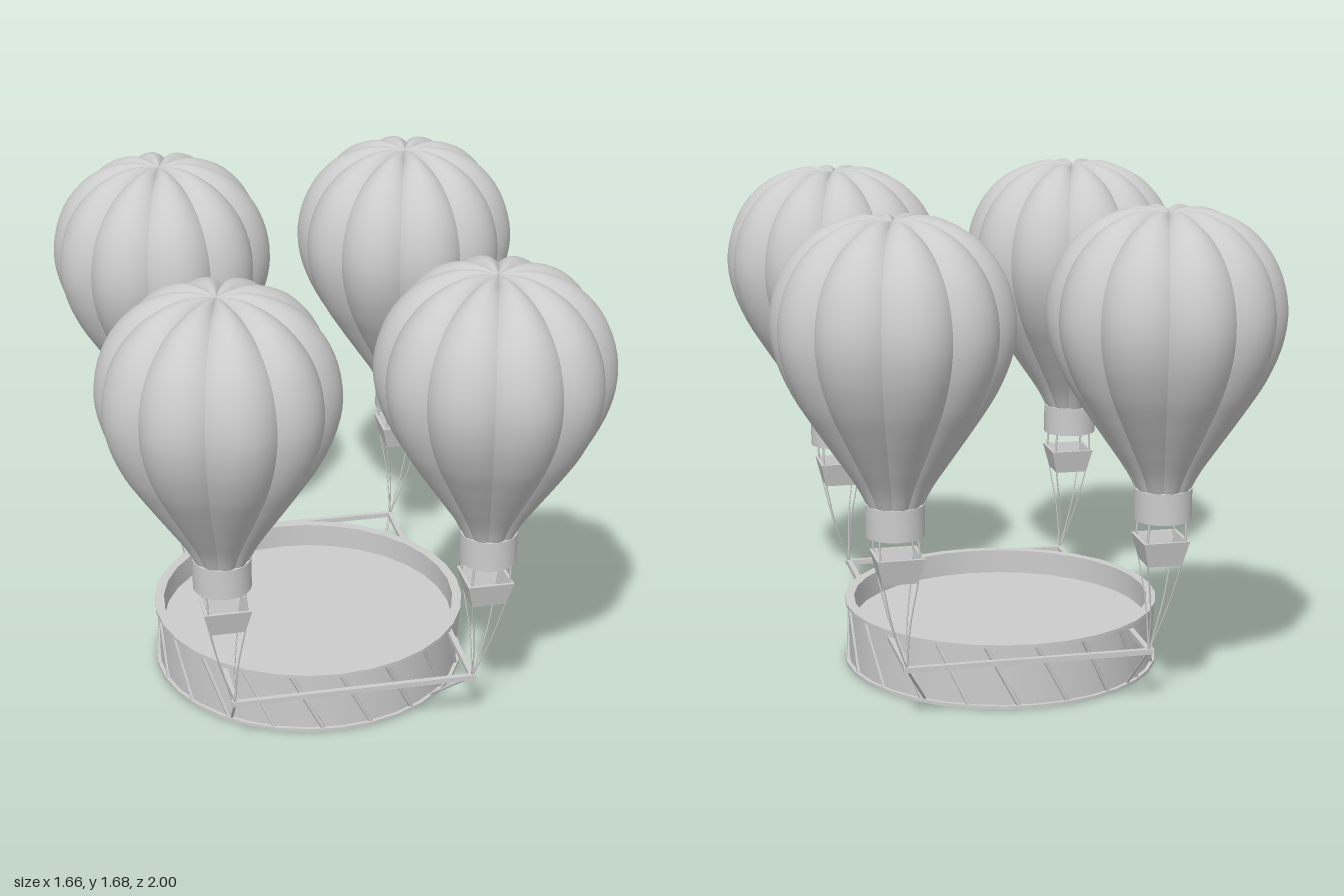
import * as THREE from 'three';
import { toCreasedNormals } from 'three/addons/utils/BufferGeometryUtils.js';
import { ParametricGeometry } from 'three/addons/geometries/ParametricGeometry.js';

const material = new THREE.MeshStandardMaterial({ color: 0xcccccc });
const LOBES = 10;
const TUB_X = -0.038;
const V = (x, y, z) => new THREE.Vector3(x, y, z);

function add(parent, name, geometry) {
  const mesh = new THREE.Mesh(geometry, material);
  mesh.name = name;
  parent.add(mesh);
  return mesh;
}

// Closed solid of revolution with sharp edges kept
function turned(points, sides, phase = 0) {
  const profile = points.map(([r, y]) => new THREE.Vector2(r, y));
  return toCreasedNormals(new THREE.LatheGeometry(profile, sides, phase), 0.6);
}

// Straight round rod between two points
function rod(parent, name, a, b, radius, sides = 6) {
  const mesh = add(parent, name, new THREE.CylinderGeometry(radius, radius, a.distanceTo(b), sides));
  mesh.position.copy(a).add(b).multiplyScalar(0.5);
  mesh.quaternion.setFromUnitVectors(V(0, 1, 0), b.clone().sub(a).normalize());
  return mesh;
}

// Envelope profile along the crest of a lobe
const envelope = new THREE.SplineCurve([
  [0.088, 0.75], [0.125, 0.82], [0.19, 0.915], [0.262, 1.02], [0.325, 1.12], [0.372, 1.23],
  [0.39, 1.335], [0.376, 1.44], [0.332, 1.54], [0.257, 1.622], [0.165, 1.668],
  [0.085, 1.68], [0.002, 1.668],
].map(([r, y]) => new THREE.Vector2(r, y)));

// One bulging gore; separate gores leave a sharp crease between lobes
const gore = new ParametricGeometry((u, v, target) => {
  const s = 2 * u - 1;
  const p = envelope.getPoint(v);
  const k = 1 - 0.085 * s * s;
  const angle = s * Math.PI / LOBES;
  const sink = 0.02 * s * s * THREE.MathUtils.smoothstep(p.y, 1.4, 1.66) * Math.min(1, p.x / 0.1);
  target.set(p.x * k * Math.sin(angle), p.y - sink, p.x * k * Math.cos(angle));
}, 8, 36);

const neck = turned([[0.08, 0.655], [0.096, 0.655], [0.096, 0.76], [0.08, 0.76], [0.08, 0.655]], 28);

// Square tapered basket, hollow
const q = Math.SQRT2;
const basket = turned([
  [0, 0.505], [0.058 * q, 0.505], [0.078 * q, 0.59], [0.068 * q, 0.59], [0.052 * q, 0.52], [0, 0.52],
], 4, Math.PI / 4);

function createStation(sx, sz) {
  const station = new THREE.Group();
  station.name = 'balloon';
  const cx = 0.447 * sx, cz = 0.61 * sz;

  const canopy = new THREE.Group();
  canopy.name = 'envelope';
  canopy.position.set(cx, 0, cz);
  for (let i = 0; i < LOBES; i++) {
    add(canopy, 'envelopeGore', gore).rotation.y = 0.04 + i * 2 * Math.PI / LOBES;
  }
  add(canopy, 'neckRing', neck);
  station.add(canopy);

  const bx = cx - 0.006 * sx;
  add(station, 'basket', basket).position.set(bx, 0, cz);

  // Posts above the basket and mooring ropes below it
  const anchor = V(0.41 * sx, 0.19, 0.602 * sz);
  for (const i of [-1, 1]) for (const j of [-1, 1]) {
    rod(station, 'basketPost', V(bx + i * 0.066, 0.57, cz + j * 0.066), V(cx + i * 0.062, 0.67, cz + j * 0.062), 0.004);
    const start = V(bx + i * 0.058, 0.51, cz + j * 0.056);
    const middle = start.clone().lerp(anchor, 0.5).add(V(0.008 * sx, 0, 0));
    const path = new THREE.CatmullRomCurve3([start, middle, anchor]);
    add(station, 'mooringRope', new THREE.TubeGeometry(path, 10, 0.0025, 5));
  }
  return station;
}

// Round tub with rim flanges, recessed floor and slanted ribs
function createTub() {
  const tub = new THREE.Group();
  tub.name = 'tub';
  tub.position.x = TUB_X;
  add(tub, 'tubShell', turned([
    [0, 0], [0.553, 0], [0.553, 0.012], [0.54, 0.012], [0.54, 0.215], [0.553, 0.215],
    [0.553, 0.227], [0.52, 0.227], [0.52, 0.14], [0, 0.14],
  ], 32));
  const count = 20;
  for (let i = 0; i < count; i++) {
    const a = i * 2 * Math.PI / count;
    const at = (angle, y) => V(0.541 * Math.sin(angle), y, 0.541 * Math.cos(angle));
    rod(tub, 'tubRib', at(a, 0.218), at(a + 0.21, 0.008), 0.008);
  }
  return tub;
}

// Outrigger frame carrying the mooring points
function createFrame() {
  const frame = new THREE.Group();
  frame.name = 'frame';
  for (const sz of [-1, 1]) {
    add(frame, 'crossBar', new THREE.BoxGeometry(0.845, 0.018, 0.018)).position.set(0, 0.19, 0.602 * sz);
    for (const sx of [-1, 1]) {
      const inner = sx > 0 ? 0.285 : 0.37;
      const arm = add(frame, 'sideArm', new THREE.BoxGeometry(0.018, 0.018, 0.602 - inner));
      arm.position.set(0.41 * sx, 0.19, sz * (0.602 + inner) / 2);
      rod(frame, 'brace', V(0.41 * sx, 0.188, 0.6 * sz), V(TUB_X + 0.355 * sx, 0.015, 0.415 * sz), 0.005);
    }
  }
  return frame;
}

export function createModel() {
  const model = new THREE.Group();
  model.name = 'balloonPlatform';
  model.add(createTub(), createFrame());
  for (const sx of [-1, 1]) for (const sz of [-1, 1]) model.add(createStation(sx, sz));
  return model;
}
